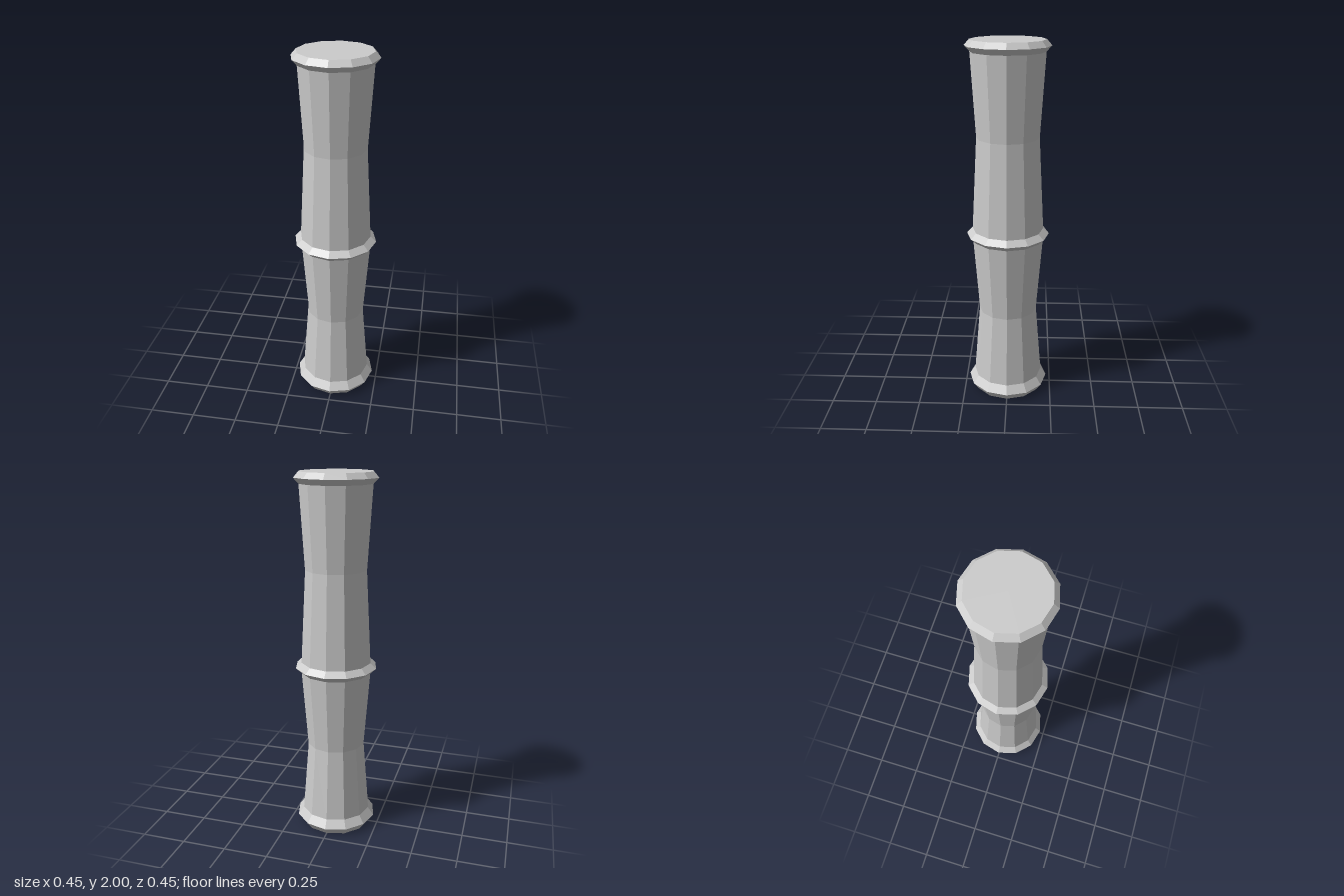
import * as THREE from 'three';

const SIDES = 12;

export function createModel() {
  const group = new THREE.Group();
  const material = new THREE.MeshStandardMaterial({ color: 0xcccccc, flatShading: true });

  // Turns a list of [radius, height] pairs, bottom to top, into a faceted part
  const turn = (name, profile) => {
    const points = profile.map(([r, y]) => new THREE.Vector2(r, y));
    const mesh = new THREE.Mesh(new THREE.LatheGeometry(points, SIDES), material);
    mesh.name = name;
    group.add(mesh);
  };

  // Bevelled node rings; the end ones are closed by flat caps
  turn('bottomRing', [[0, 0], [0.195, 0], [0.227, 0.045], [0.195, 0.09]]);
  turn('middleRing', [[0.195, 0.93], [0.227, 0.96], [0.195, 0.99]]);
  turn('topRing', [[0.195, 1.94], [0.223, 1.97], [0.196, 2], [0, 2]]);

  // Stalk segments, each narrowing to a waist
  turn('lowerSegment', [[0.195, 0.09], [0.162, 0.5], [0.195, 0.93]]);
  turn('upperSegment', [[0.195, 0.99], [0.168, 1.5], [0.195, 1.94]]);

  return group;
}
